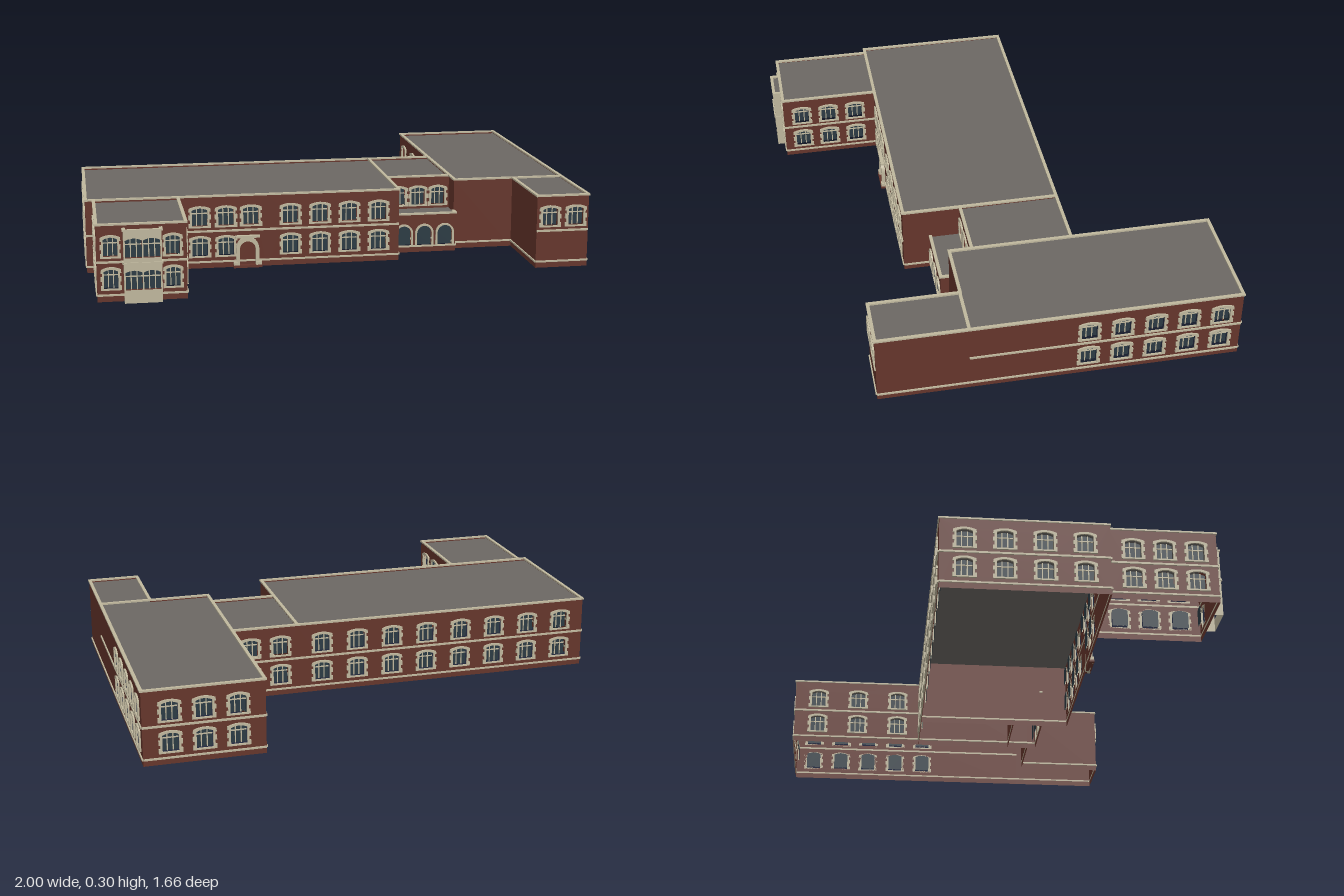
import * as THREE from 'three';

const mat = (name, color, side = THREE.DoubleSide) => {
  const m = new THREE.MeshStandardMaterial({ color, side });
  m.name = name;
  return m;
};

export function createModel() {
  const brick = mat('brick red', 0x65352b);
  const stone = mat('pale stone', 0xbfb79d);
  const roofing = mat('grey roofing', 0x6b6763);
  const glass = mat('dark glass', 0x2b3a43);
  const building = new THREE.Group();
  building.name = 'building';

  const add = (parent, name, geo, material, x = 0, y = 0, z = 0) => {
    const m = new THREE.Mesh(geo, material);
    m.name = name;
    m.position.set(x, y, z);
    parent.add(m);
    return m;
  };
  const box = (parent, name, material, w, h, d, x, y, z) =>
    add(parent, name, new THREE.BoxGeometry(w, h, d), material, x, y, z);

  // Outlines of a segmental window and a round arch, origin at the sill centre
  const windowPath = (P, u = 0, y = 0, s = 1) => {
    const p = new P();
    p.moveTo(u - 0.031 * s, y);
    p.lineTo(u + 0.031 * s, y);
    p.lineTo(u + 0.031 * s, y + 0.066);
    p.quadraticCurveTo(u, y + 0.082, u - 0.031 * s, y + 0.066);
    p.closePath();
    return p;
  };
  const archPath = (P, u = 0, y = 0, r = 0.031, h = 0.052) => {
    const p = new P();
    p.moveTo(u - r, y);
    p.lineTo(u + r, y);
    p.lineTo(u + r, y + h);
    p.absarc(u, y + h, r, 0, Math.PI, false);
    p.closePath();
    return p;
  };

  // Stone surround with toothed sides
  const surround = new THREE.Shape();
  const steps = [[0.045, -0.006], [0.045, 0.012], [0.039, 0.012], [0.039, 0.028], [0.045, 0.028],
    [0.045, 0.046], [0.039, 0.046], [0.039, 0.06], [0.045, 0.06], [0.043, 0.073]];
  steps.forEach(([x, y], i) => (i ? surround.lineTo(x, y) : surround.moveTo(x, y)));
  surround.quadraticCurveTo(0, 0.092, -0.043, 0.073);
  [...steps].reverse().slice(1).forEach(([x, y]) => surround.lineTo(-x, y));
  surround.closePath();
  surround.holes.push(windowPath(THREE.Path));
  const surroundGeo = new THREE.ExtrudeGeometry(surround, { depth: 0.007, bevelEnabled: false, curveSegments: 6 });
  const paneGeo = new THREE.ShapeGeometry(windowPath(THREE.Shape), 6);
  const barGeo = new THREE.BoxGeometry(0.004, 0.072, 0.004);
  const transomGeo = new THREE.BoxGeometry(0.062, 0.004, 0.004);

  const archTrim = archPath(THREE.Shape, 0, 0, 0.039);
  archTrim.holes.push(archPath(THREE.Path));
  const archTrimGeo = new THREE.ExtrudeGeometry(archTrim, { depth: 0.007, bevelEnabled: false });
  const archPaneGeo = new THREE.ShapeGeometry(archPath(THREE.Shape));

  function addWindow(parent, u, y, s, bare) {
    const g = new THREE.Group();
    g.name = 'window';
    g.position.set(u, y, 0);
    g.scale.x = s;
    add(g, 'windowPane', paneGeo, glass, 0, 0, -0.014);
    for (const x of [-0.011, 0.011]) add(g, 'mullion', barGeo, stone, x, 0.036, -0.011);
    add(g, 'transom', transomGeo, stone, 0, 0.05, -0.011);
    if (!bare) add(g, 'windowSurround', surroundGeo, stone);
    parent.add(g);
  }

  const H = 0.292;
  const LOW = 0.051, HIGH = 0.173;

  // A wall from a to b, seen from outside left to right; centres are world x or z values
  function wall(name, [ax, az], [bx, bz], o = {}) {
    const { at = [], rows = [LOW, HIGH], h = H, s = 1, band = true, material = brick, arches = [], bare = false } = o;
    const g = new THREE.Group();
    g.name = name;
    g.position.set(ax, 0, az);
    g.rotation.y = Math.atan2(az - bz, bx - ax);
    const len = Math.hypot(bx - ax, bz - az);
    const along = c => Math.abs(c - (Math.abs(bx - ax) > 1e-6 ? ax : az));
    const shape = new THREE.Shape();
    shape.moveTo(0, 0);
    shape.lineTo(len, 0);
    shape.lineTo(len, h);
    shape.lineTo(0, h);
    shape.closePath();
    for (const c of at) {
      for (const y of rows) {
        shape.holes.push(windowPath(THREE.Path, along(c), y, s));
        addWindow(g, along(c), y, s, bare);
      }
    }
    for (const c of arches) {
      shape.holes.push(archPath(THREE.Path, along(c), 0.029));
      add(g, 'archPane', archPaneGeo, glass, along(c), 0.029, -0.014);
      add(g, 'archTrim', archTrimGeo, stone, along(c), 0.029, 0);
    }
    add(g, 'wallFace', new THREE.ShapeGeometry(shape, 6), material);
    box(g, 'parapetCap', stone, len + 0.008, 0.007, 0.013, len / 2, h + 0.0025, -0.002);
    if (!bare) box(g, 'baseCourse', stone, len, 0.007, 0.006, len / 2, 0.026, 0.002);
    if (band) box(g, 'floorBand', stone, len, 0.008, 0.006, len / 2, 0.152, 0.002);
    building.add(g);
  }

  const roof = (name, x0, x1, z0, z1, y = 0.284) => {
    const r = add(building, name, new THREE.PlaneGeometry(x1 - x0, z1 - z0), roofing, (x0 + x1) / 2, y, (z0 + z1) / 2);
    r.rotation.x = -Math.PI / 2;
  };
  const row = (start, step, n) => Array.from({ length: n }, (_, i) => start + step * i);
  const W = -0.993, E = 0.993;

  // Main block
  wall('mainFrontWest', [W, 0.38], [-0.4, 0.38], { at: [-0.545, -0.44] });
  wall('mainFrontDoorBay', [-0.4, 0.38], [-0.28, 0.38], { at: [-0.34], rows: [HIGH] });
  wall('mainFrontEast', [-0.28, 0.38], [0.265, 0.38], { at: row(-0.18, 0.12, 4) });
  wall('mainEast', [0.265, 0.38], [0.265, -0.26], { band: false });
  wall('mainBack', [0.265, -0.26], [W, -0.26], { at: row(-0.89, 0.15, 8) });
  wall('mainWest', [W, -0.26], [W, 0.38], { at: row(-0.165, 0.15, 4) });
  roof('mainRoof', W, 0.265, -0.26, 0.38);

  // West front wing
  const wingSide = [0.47, 0.59, 0.71];
  wall('wingFront', [-0.962, 0.79], [-0.628, 0.79], { at: [-0.91, -0.68], s: 0.85 });
  wall('wingEast', [-0.628, 0.79], [-0.628, 0.38], { at: wingSide });
  wall('wingWest', [-0.962, 0.38], [-0.962, 0.79], { at: wingSide });
  roof('wingRoof', -0.962, -0.628, 0.38, 0.79);

  // Stone bay on the wing
  const bay = { h: 0.275, material: stone, bare: true };
  wall('bayFront', [-0.863, 0.824], [-0.722, 0.824], { ...bay, at: [-0.826, -0.759] });
  wall('bayEast', [-0.722, 0.824], [-0.722, 0.79], bay);
  wall('bayWest', [-0.863, 0.79], [-0.863, 0.824], bay);
  roof('bayRoof', -0.863, -0.722, 0.79, 0.824, 0.272);

  // Link with arched porch
  wall('linkFront', [0.265, 0.145], [0.53, 0.145], { at: [0.312, 0.397, 0.482], rows: [HIGH], s: 0.92, band: false });
  wall('linkBack', [0.53, -0.26], [0.265, -0.26], { at: [0.335, 0.46] });
  roof('linkRoof', 0.265, 0.53, -0.26, 0.145);
  wall('porchFront', [0.265, 0.27], [0.53, 0.27], { arches: [0.31, 0.397, 0.484], h: 0.16, band: false });
  wall('porchEast', [0.53, 0.27], [0.53, 0.235], { h: 0.16, band: false });
  roof('porchRoof', 0.265, 0.53, 0.145, 0.27, 0.156);

  // East block
  wall('eastFront', [0.53, 0.235], [0.78, 0.235], { band: false });
  wall('eastSide', [E, 0.235], [E, -0.825], { at: row(-0.745, 0.13, 5) });
  wall('eastBack', [E, -0.825], [0.53, -0.825], { at: [0.635, 0.763, 0.89] });
  wall('eastInnerBack', [0.53, -0.825], [0.53, -0.26], { at: [-0.72, -0.54, -0.36] });
  wall('eastInnerFront', [0.53, -0.26], [0.53, 0.235], { band: false });
  roof('eastRoof', 0.53, E, -0.825, 0.235);

  // East front wing
  wall('eastWingFront', [0.78, 0.59], [E, 0.59], { at: [0.834, 0.94], rows: [HIGH] });
  wall('eastWingSide', [E, 0.59], [E, 0.235], { band: false });
  wall('eastWingInner', [0.78, 0.235], [0.78, 0.59], { band: false });
  box(building, 'eastWingRearCap', stone, 0.213, 0.007, 0.013, 0.8865, 0.2945, 0.235);
  roof('eastWingRoof', 0.78, E, 0.235, 0.59);

  // Entrance portal
  const portal = archPath(THREE.Shape, 0, 0, 0.046, 0.078);
  portal.holes.push(archPath(THREE.Path, 0, 0.001, 0.032, 0.074));
  add(building, 'entrancePortal', new THREE.ExtrudeGeometry(portal, { depth: 0.016, bevelEnabled: false }), stone, -0.355, 0, 0.38);
  box(building, 'portalHood', stone, 0.1, 0.009, 0.018, -0.355, 0.126, 0.389);
  for (const s of [-1, 1]) box(building, 'portalPlinth', stone, 0.022, 0.024, 0.02, -0.355 + s * 0.045, 0.012, 0.39);
  box(building, 'entranceStep', brick, 0.116, 0.01, 0.022, -0.355, 0.005, 0.391);

  return building;
}
